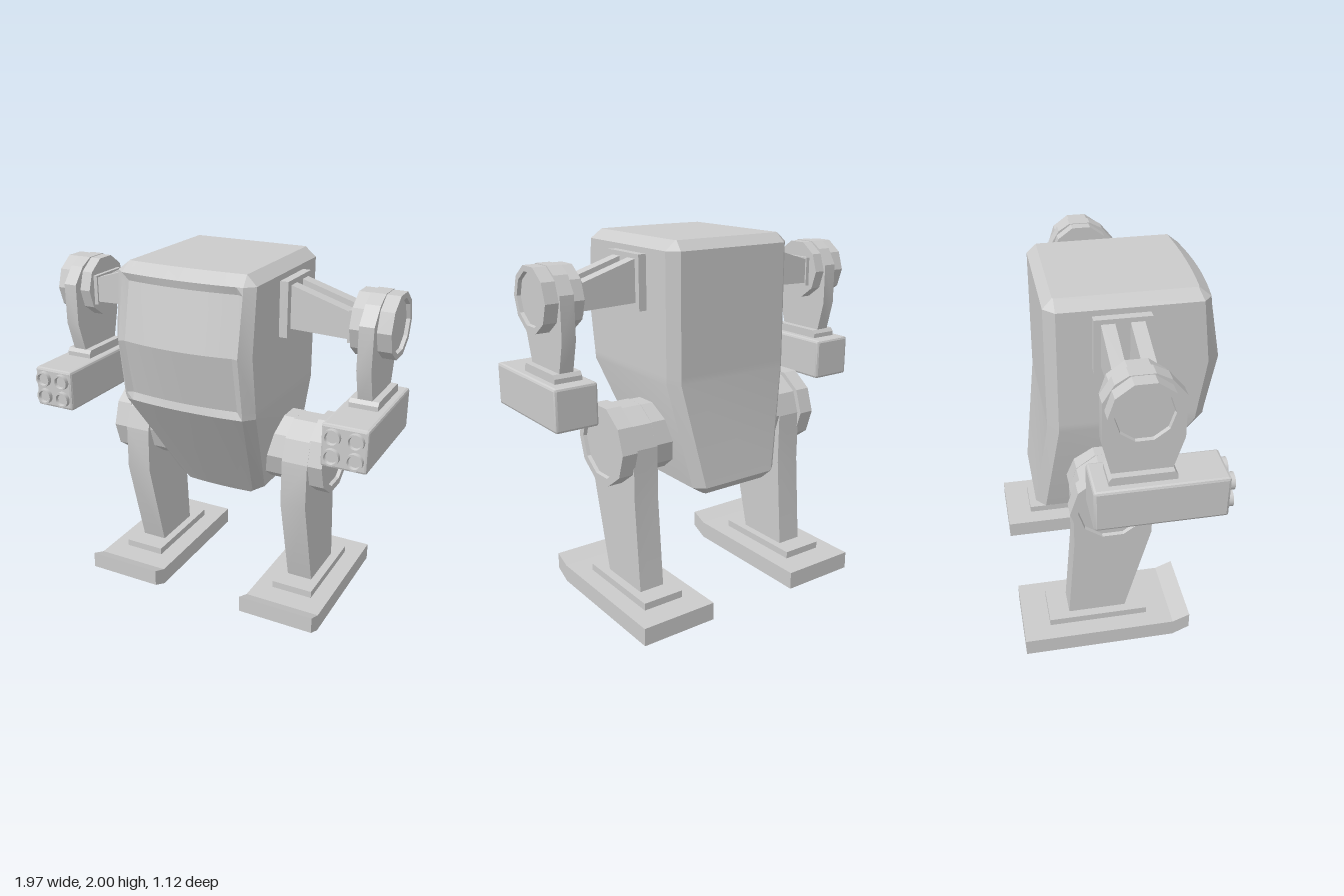
import * as THREE from 'three';
import { toCreasedNormals } from 'three/addons/utils/BufferGeometryUtils.js';
import { RoundedBoxGeometry } from 'three/addons/geometries/RoundedBoxGeometry.js';

const material = new THREE.MeshStandardMaterial({ color: 0xcccccc });

// Adds a mesh; side -1 mirrors the geometry across x and restores the winding
function add(parent, name, geometry, side = 1) {
  const geo = geometry.index ? geometry.toNonIndexed() : geometry;
  if (side < 0) {
    const p = geo.attributes.position;
    const a = new THREE.Vector3(), b = new THREE.Vector3();
    geo.scale(-1, 1, 1);
    for (let i = 0; i < p.count; i += 3) {
      a.fromBufferAttribute(p, i + 1);
      b.fromBufferAttribute(p, i + 2);
      p.setXYZ(i + 1, b.x, b.y, b.z);
      p.setXYZ(i + 2, a.x, a.y, a.z);
    }
  }
  const mesh = new THREE.Mesh(toCreasedNormals(geo, 0.3), material);
  mesh.name = name;
  parent.add(mesh);
}

// Box given by its limits on each axis
function box(x0, x1, y0, y1, z0, z1) {
  return new THREE.BoxGeometry(x1 - x0, y1 - y0, z1 - z0)
    .translate((x0 + x1) / 2, (y0 + y1) / 2, (z0 + z1) / 2);
}

// Side profile of [z, y] points extruded from x0 to x1
function sidePlate(points, x0, x1) {
  const shape = new THREE.Shape(points.map(([z, y]) => new THREE.Vector2(z, y)));
  return new THREE.ExtrudeGeometry(shape, { depth: x1 - x0, bevelEnabled: false })
    .rotateY(-Math.PI / 2).translate(x1, 0, 0);
}

// Ten-sided joint disc along x with a recessed outer face
function disc(r, x0, x1, y, z, recess = 0.02) {
  const profile = [[0, x0], [r, x0], [r, x1], [r * 0.82, x1], [r * 0.8, x1 - recess], [0, x1 - recess]];
  return new THREE.LatheGeometry(profile.map(([a, b]) => new THREE.Vector2(a, b)), 10)
    .rotateZ(-Math.PI / 2).translate(0, y, z);
}

// Hull lofted through horizontal cross-sections, with a bowed and inset front
function hull() {
  // y, side x, front corner x, front centre z, front corner z, side front z, side back z, back z, back x, inset
  const rows = [
    [2.00, 0.33, 0.33, 0.43, 0.415, 0.41, -0.30, -0.305, 0.325, 0],
    [1.95, 0.39, 0.34, 0.50, 0.475, 0.43, -0.30, -0.355, 0.335, 0],
    [1.91, 0.39, 0.34, 0.51, 0.48, 0.435, -0.30, -0.355, 0.335, 0.02],
    [1.61, 0.39, 0.34, 0.575, 0.535, 0.47, -0.30, -0.355, 0.335, 0.015],
    [1.31, 0.39, 0.34, 0.51, 0.48, 0.425, -0.30, -0.355, 0.335, 0.02],
    [1.27, 0.39, 0.34, 0.50, 0.475, 0.42, -0.30, -0.355, 0.335, 0],
    [0.70, 0.28, 0.22, 0.115, 0.10, 0.06, -0.375, -0.425, 0.225, 0],
    [0.65, 0.205, 0.20, 0.08, 0.07, 0.05, -0.36, -0.38, 0.195, 0],
  ];
  const columns = [1, 0.9, 0.7, 0.5, 0.25, 0, -0.25, -0.5, -0.7, -0.9, -1];
  const rings = rows.map(([y, xs, xf, zc, zf, zfs, zs, zb, xb, inset]) => [
    [xs, y, zs], [xs, y, zfs],
    ...columns.map((t) => [xf * t, y, zf + (zc - zf) * (1 - t * t) - (Math.abs(t) < 1 ? inset : 0)]),
    [-xs, y, zfs], [-xs, y, zs], [-xb, y, zb], [xb, y, zb],
  ]);
  const n = rings[0].length;
  const positions = rings.flat(2);
  const index = [];
  for (let r = 0; r < rings.length - 1; r++) {
    for (let i = 0; i < n; i++) {
      const a = r * n + i, b = r * n + (i + 1) % n;
      index.push(a, b, a + n, b, b + n, a + n);
    }
  }
  // Top and bottom caps
  const top = positions.length / 3, last = (rings.length - 1) * n;
  positions.push(0, 2, 0, 0, 0.65, -0.15);
  for (let i = 0; i < n; i++) {
    const j = (i + 1) % n;
    index.push(top, j, i, top + 1, last + i, last + j);
  }
  const geo = new THREE.BufferGeometry();
  geo.setAttribute('position', new THREE.Float32BufferAttribute(positions, 3));
  geo.setIndex(index);
  return geo;
}

function arm(side) {
  const g = new THREE.Group();
  g.name = side > 0 ? 'leftArm' : 'rightArm';
  add(g, 'shoulderPlate', box(0.37, 0.435, 1.63, 1.92, -0.125, 0.165), side);

  // Two tapered struts
  const strut = new THREE.Shape([[0.42, 1.67], [0.76, 1.66], [0.76, 1.795], [0.42, 1.9]]
    .map(([x, y]) => new THREE.Vector2(x, y)));
  for (const z of [-0.09, 0.055]) {
    add(g, 'armStrut', new THREE.ExtrudeGeometry(strut, { depth: 0.07, bevelEnabled: false })
      .translate(0, 0, z), side);
  }
  add(g, 'strutEndPlate', box(0.745, 0.78, 1.645, 1.81, -0.1, 0.135), side);

  // Shoulder joint with hanging bracket
  add(g, 'innerShoulderDisc', disc(0.17, 0.767, 0.835, 1.73, 0.01, 0), side);
  add(g, 'outerShoulderDisc', disc(0.17, 0.9, 0.98, 1.73, 0.01), side);
  add(g, 'launcherBracket', sidePlate([
    [0.165, 1.36], [0.22, 1.54], [0.22, 1.765], [0.145, 1.855], [0.07, 1.895],
    [-0.05, 1.895], [-0.115, 1.855], [-0.17, 1.765], [-0.17, 1.54], [-0.125, 1.36],
  ].reverse(), 0.83, 0.907), side);

  // Bevelled mount and launcher box
  add(g, 'launcherMount', sidePlate([
    [-0.145, 1.32], [0.185, 1.32], [0.185, 1.355], [0.17, 1.375], [-0.13, 1.375], [-0.145, 1.355],
  ], 0.79, 0.943), side);
  add(g, 'launcherBox', new RoundedBoxGeometry(0.242, 0.23, 0.66, 1, 0.014)
    .translate(0.866, 1.215, 0.107), side);

  // Four hollow launch tubes
  const tube = [[0, 0.4], [0.044, 0.4], [0.044, 0.462], [0.034, 0.462], [0.03, 0.445], [0, 0.445]]
    .map(([r, z]) => new THREE.Vector2(r, z));
  for (const x of [0.806, 0.926]) {
    for (const y of [1.165, 1.268]) {
      add(g, 'launchTube', new THREE.LatheGeometry(tube, 24).rotateX(Math.PI / 2).translate(x, y, 0), side);
    }
  }
  return g;
}

function leg(side) {
  const g = new THREE.Group();
  g.name = side > 0 ? 'leftLeg' : 'rightLeg';
  add(g, 'innerHipDisc', disc(0.2, 0.22, 0.435, 0.94, -0.06, 0), side);
  add(g, 'outerHipDisc', disc(0.225, 0.565, 0.655, 0.935, -0.065), side);

  // Leg with a faceted round top
  const outline = [[-0.26, 0.65], [-0.3, 0.13], [0.02, 0.13], [0.165, 0.68]];
  for (let i = 0; i <= 5; i++) {
    const a = (i * Math.PI) / 5;
    outline.push([-0.05 + 0.212 * Math.cos(a), 0.935 + 0.205 * Math.sin(a)]);
  }
  add(g, 'legBeam', sidePlate(outline, 0.425, 0.572), side);

  // Foot with an upturned toe
  add(g, 'anklePlate', box(0.38, 0.62, 0.09, 0.14, -0.415, 0.14), side);
  add(g, 'foot', sidePlate([
    [-0.565, 0], [0.275, 0], [0.37, 0.045], [0.37, 0.14], [0.275, 0.1], [-0.565, 0.1],
  ], 0.278, 0.718), side);
  return g;
}

export function createModel() {
  const model = new THREE.Group();
  model.name = 'walkerRobot';
  add(model, 'hull', hull());
  for (const side of [1, -1]) model.add(arm(side), leg(side));
  return model;
}
